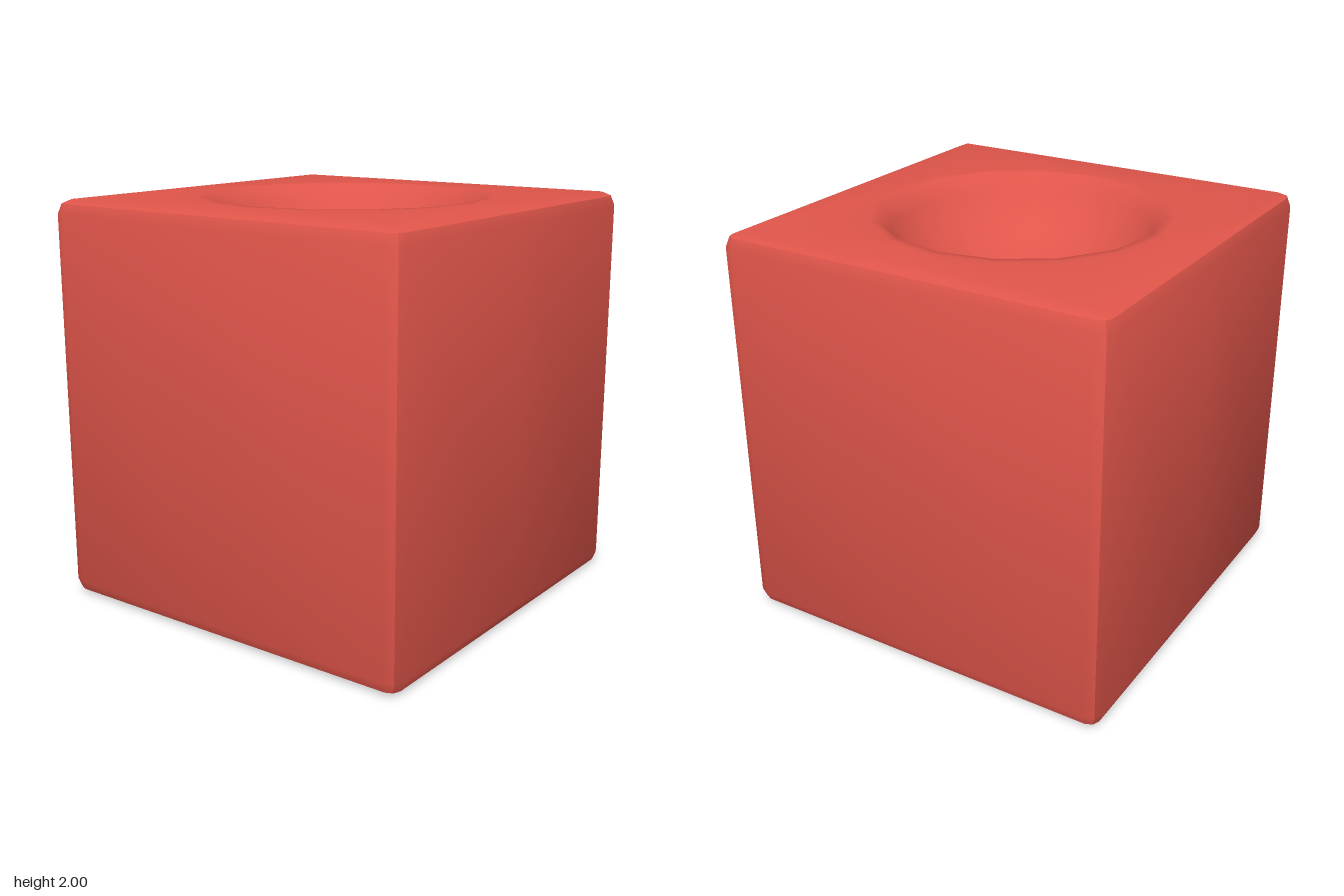
import * as THREE from 'three';
import { toCreasedNormals } from 'three/addons/utils/BufferGeometryUtils.js';

const BEVEL = 0.07, CORE = 1 - BEVEL;
const BOWL_RADIUS = 0.8, RIM_TILT = Math.PI / 3;

// Rounded square of 16 points: three per corner plus one mid-side
function squareLoop(y, c) {
  const loop = [];
  for (let k = 0; k < 4; k++) {
    const base = k * Math.PI / 2, mid = base + Math.PI / 4;
    const cx = Math.sign(Math.cos(mid)) * CORE, cz = Math.sign(Math.sin(mid)) * CORE;
    for (let s = 0; s < 3; s++) {
      const a = base + s * Math.PI / 4;
      loop.push(new THREE.Vector3(cx + c * Math.cos(a), y, cz + c * Math.sin(a)));
    }
    const a = base + Math.PI / 2;
    loop.push(new THREE.Vector3((CORE + c) * Math.cos(a), y, (CORE + c) * Math.sin(a)));
  }
  return loop;
}

// Circle of 16 points lined up with the square loop
function circleLoop(y, r) {
  return Array.from({ length: 16 }, (_, j) => {
    const a = (j + 1) * Math.PI / 8;
    return new THREE.Vector3(r * Math.cos(a), y, r * Math.sin(a));
  });
}

// Skin neighbouring loops, leaving out collapsed triangles
function skin(loops, crease) {
  const points = [];
  const tri = (a, b, c) => {
    if (new THREE.Triangle(a, b, c).getArea() > 1e-8) points.push(a, b, c);
  };
  for (let i = 0; i + 1 < loops.length; i++) {
    const l = loops[i], u = loops[i + 1];
    for (let j = 0; j < 16; j++) {
      const n = (j + 1) % 16;
      tri(l[j], u[j], u[n]);
      tri(l[j], u[n], l[n]);
    }
  }
  return toCreasedNormals(new THREE.BufferGeometry().setFromPoints(points), crease);
}

export function createModel() {
  const group = new THREE.Group();
  group.name = 'hollowedCube';
  const material = new THREE.MeshStandardMaterial({ color: 0xe0554a });
  const add = (name, geometry) => {
    const mesh = new THREE.Mesh(geometry, material);
    mesh.name = name;
    group.add(mesh);
  };

  const half = BEVEL * Math.SQRT1_2;
  // Base and four sides with two-step bevels
  add('body', skin([
    circleLoop(0, 0),
    squareLoop(0, 0),
    squareLoop(BEVEL - half, half),
    squareLoop(BEVEL, BEVEL),
    squareLoop(2 - BEVEL, BEVEL),
    squareLoop(2 - BEVEL + half, half),
  ], 0.7));

  // Top face running softly into a round bowl
  const top = [
    squareLoop(2 - BEVEL + half, half),
    squareLoop(2, 0),
    circleLoop(2, BOWL_RADIUS * Math.sin(RIM_TILT) + 0.04),
  ];
  const centerY = 2 + BOWL_RADIUS * Math.cos(RIM_TILT);
  for (let i = 0; i <= 8; i++) {
    const tilt = RIM_TILT * (1 - i / 8);
    top.push(circleLoop(centerY - BOWL_RADIUS * Math.cos(tilt), BOWL_RADIUS * Math.sin(tilt)));
  }
  add('topWithBowl', skin(top, 1.2));
  return group;
}
